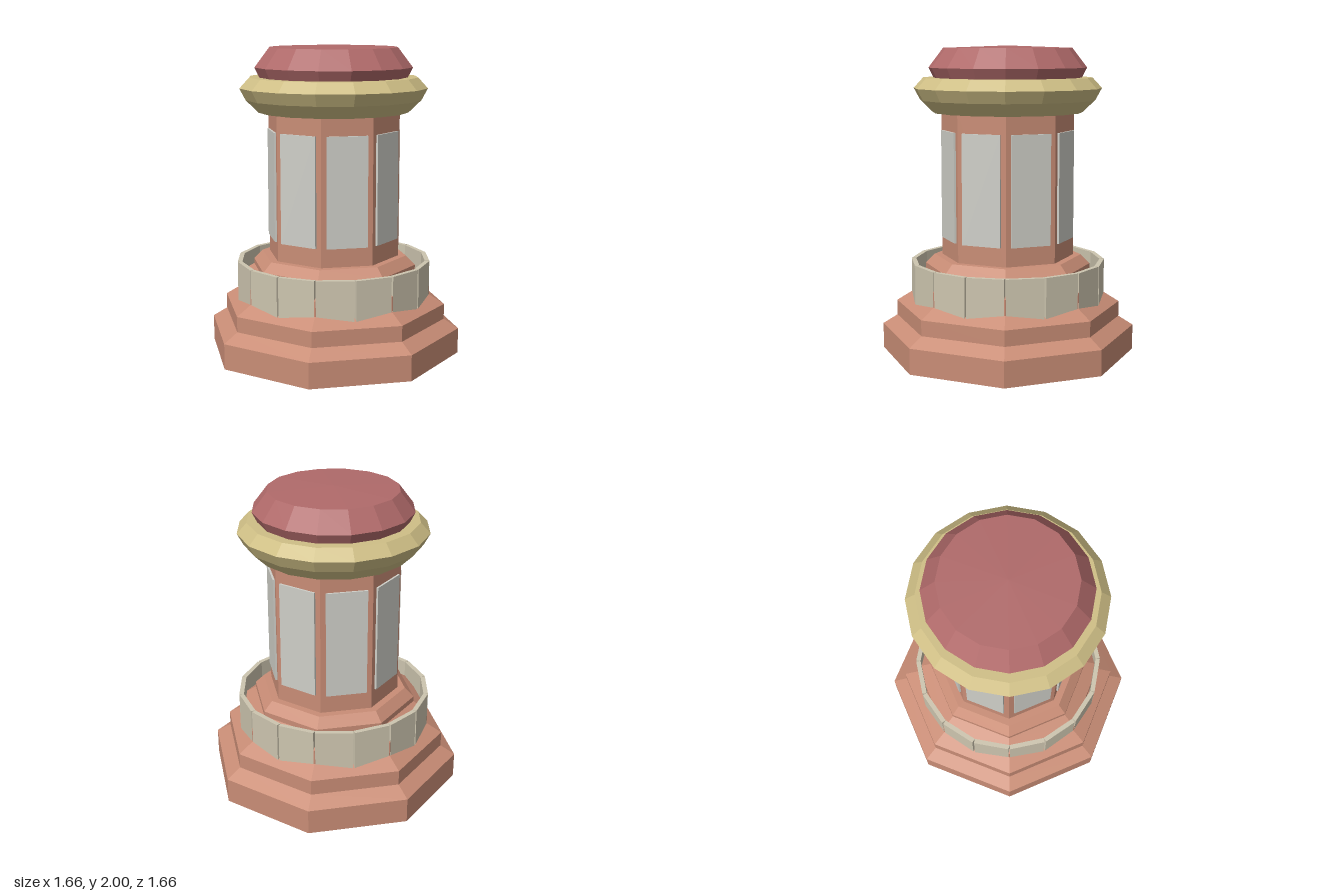
import * as THREE from 'three';

const material = (color) => new THREE.MeshStandardMaterial({ color, flatShading: true });

// Faceted solid of revolution from a [radius, height] profile running upward
function turned(name, profile, sides, mat) {
  const points = profile.map(([r, y]) => new THREE.Vector2(r, y));
  const mesh = new THREE.Mesh(new THREE.LatheGeometry(points, sides), mat);
  mesh.name = name;
  return mesh;
}

// Ring of boxes, one centred on each face of a regular polygon
function panelRing(name, count, outerApothem, [w, h, d], y, mat) {
  const ring = new THREE.Group();
  ring.name = name + 's';
  const geometry = new THREE.BoxGeometry(w, h, d);
  for (let i = 0; i < count; i++) {
    const angle = ((i + 0.5) / count) * Math.PI * 2;
    const r = outerApothem - d / 2;
    const panel = new THREE.Mesh(geometry, mat);
    panel.name = name;
    panel.position.set(Math.sin(angle) * r, y, Math.cos(angle) * r);
    panel.rotation.y = angle;
    ring.add(panel);
  }
  return ring;
}

export function createModel() {
  const group = new THREE.Group();
  group.name = 'pedestal';
  const clay = material(0xc98d76);
  const stone = material(0xcdc5af);
  const gold = material(0xcfbf86);
  const red = material(0xb06a6a);
  const glass = material(0xcfcfc8);

  // Stepped octagonal base with bevelled tiers
  group.add(turned('base', [
    [0, 0], [0.83, 0], [0.83, 0.165], [0.735, 0.225], [0.735, 0.325],
    [0.635, 0.387], [0.635, 0.485], [0.54, 0.545], [0.54, 0.58], [0.48, 0.64], [0, 0.64],
  ], 8, clay));

  // Octagonal shaft with a raised panel on each face
  const shaftRadius = 0.43;
  group.add(turned('shaft', [[0, 0.63], [shaftRadius, 0.63], [shaftRadius, 1.6], [0, 1.6]], 8, clay));
  const shaftApothem = shaftRadius * Math.cos(Math.PI / 8);
  group.add(panelRing('shaftPanel', 8, shaftApothem + 0.013, [0.26, 0.7, 0.03], 1.11, glass));

  // Low wall of sixteen slabs around the base
  group.add(panelRing('wallSlab', 16, 0.623, [0.236, 0.26, 0.03], 0.48, stone));

  // Faceted collar under the cap
  group.add(turned('collar', [
    [0, 1.575], [0.485, 1.575], [0.567, 1.655], [0.607, 1.73], [0.545, 1.797], [0, 1.797],
  ], 16, gold));

  // Cap with a very shallow point
  group.add(turned('cap', [
    [0, 1.79], [0.475, 1.79], [0.51, 1.86], [0.415, 1.985], [0, 2],
  ], 16, red));

  return group;
}
